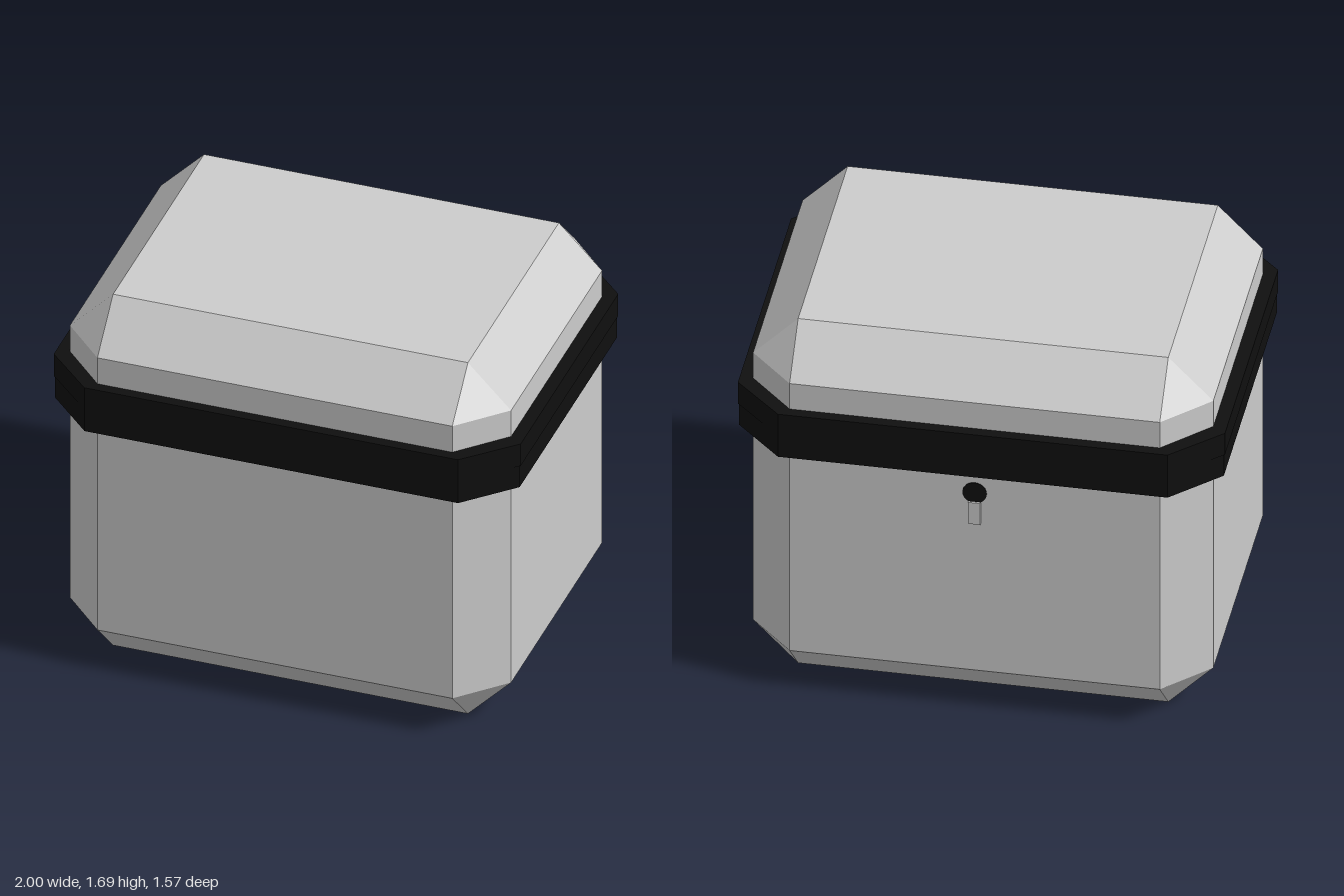
import * as THREE from 'three';

// Octagon outline in [x, z]: half sizes hx, hz with corners cut back to cx, cz
function octagon(hx, hz, cx, cz) {
  return [[hx, -cz], [hx, cz], [cx, hz], [-cx, hz], [-hx, cz], [-hx, -cz], [-cx, -hz], [cx, -hz]];
}

// Skin joining a stack of eight-point rings, closed at the top
function shellGeometry(rings) {
  const pos = [];
  const tri = (a, b, c) => pos.push(...a, ...b, ...c);
  const same = (a, b) => a.every((v, i) => v === b[i]);
  for (let r = 0; r < rings.length - 1; r++) {
    for (let i = 0; i < 8; i++) {
      const j = (i + 1) % 8;
      const a = rings[r][i], b = rings[r][j], c = rings[r + 1][j], d = rings[r + 1][i];
      if (!same(c, d)) tri(a, d, c);
      if (!same(a, b)) tri(a, c, b);
    }
  }
  const top = rings[rings.length - 1];
  for (let i = 1; i < 7; i++) {
    if (!same(top[i], top[i + 1]) && !same(top[0], top[i + 1]) && !same(top[0], top[i])) tri(top[0], top[i + 1], top[i]);
  }
  const g = new THREE.BufferGeometry();
  g.setAttribute('position', new THREE.Float32BufferAttribute(pos, 3));
  g.computeVertexNormals();
  return g;
}

// Octagonal ring with a hole that fits the body
function bandGeometry(outer, inner, height) {
  const toPoints = (o) => o.map(([x, z]) => new THREE.Vector2(x, z));
  const shape = new THREE.Shape(toPoints(outer));
  shape.holes.push(new THREE.Path(toPoints(inner)));
  const g = new THREE.ExtrudeGeometry(shape, { depth: height, bevelEnabled: false });
  return g.rotateX(-Math.PI / 2);
}

export function createModel() {
  const group = new THREE.Group();
  const grey = new THREE.MeshStandardMaterial({ color: 0xcccccc, flatShading: true, side: THREE.DoubleSide });
  grey.name = 'light grey';
  const black = new THREE.MeshStandardMaterial({ color: 0x0f0f0f, flatShading: true });
  black.name = 'black';
  const add = (name, geometry, material, x = 0, y = 0, z = 0) => {
    const mesh = new THREE.Mesh(geometry, material);
    mesh.name = name;
    mesh.position.set(x, y, z);
    group.add(mesh);
    return mesh;
  };

  // Chamfered hollow body, open underneath
  const wide = octagon(0.945, 0.74, 0.76, 0.55);
  const narrow = octagon(0.76, 0.55, 0.76, 0.55);
  const ring = (outline, y) => outline.map(([x, z]) => [x, y, z]);
  add('body', shellGeometry([ring(narrow, 0), ring(wide, 0.19), ring(wide, 1.5), ring(narrow, 1.69)]), grey);

  // Floor plate inside the base
  add('floor', new THREE.BoxGeometry(1.52, 0.01, 1.1), grey, 0, 0.19, 0);

  // Two stacked halves of the band where lid meets base
  add('lowerBand', bandGeometry(octagon(0.995, 0.783, 0.8, 0.588), wide, 0.105), black, 0, 1.165, 0);
  add('upperBand', bandGeometry(octagon(1, 0.785, 0.8, 0.59), wide, 0.105), black, 0, 1.27, 0);

  // Keyhole on the back: round hole over a raised slot
  const disc = new THREE.CylinderGeometry(0.05, 0.05, 0.006, 24).rotateX(Math.PI / 2);
  add('keyholeDisc', disc, black, 0, 1.06, -0.74);
  add('keyholeSlot', new THREE.BoxGeometry(0.05, 0.105, 0.03), grey, 0, 0.965, -0.737);

  return group;
}
